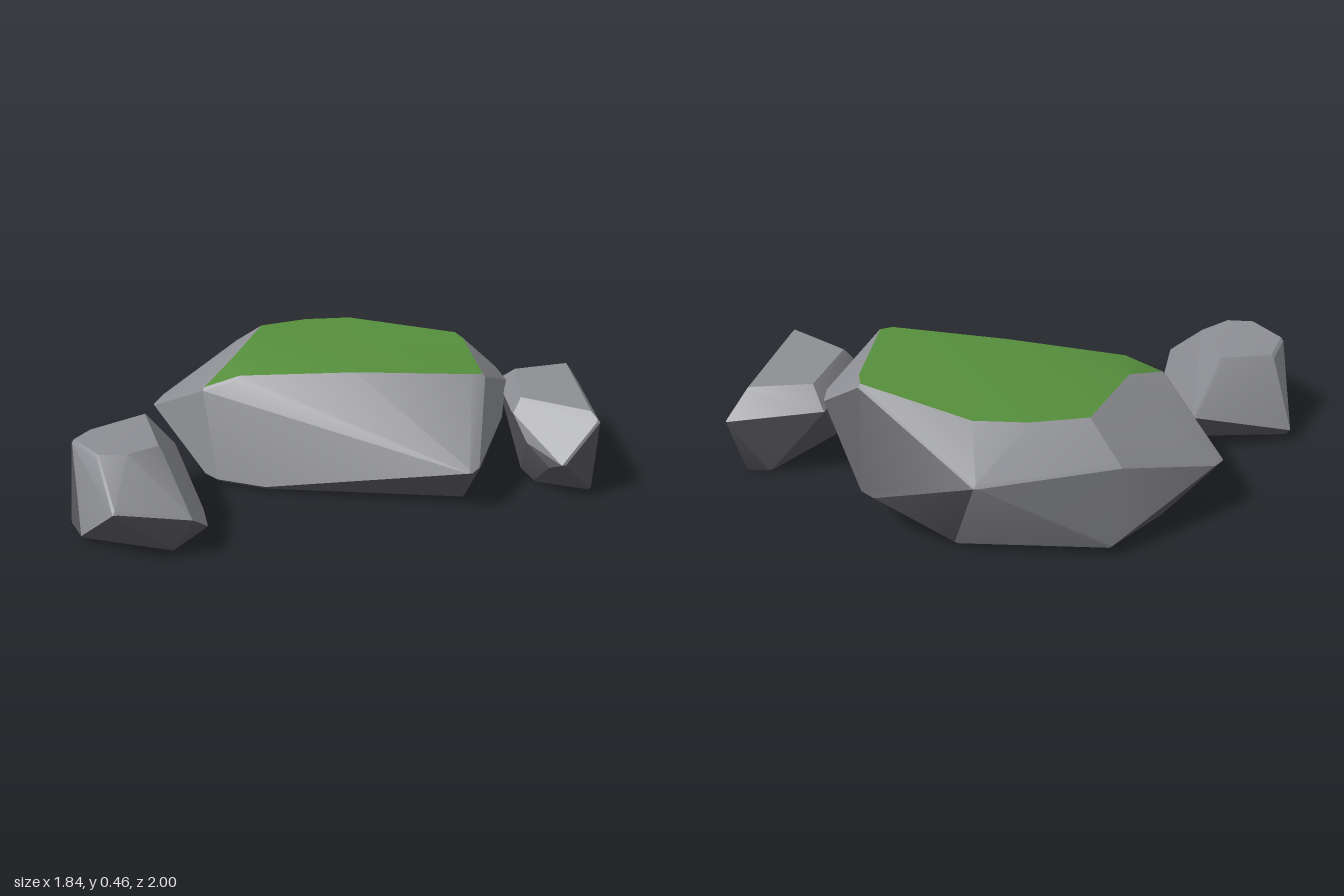
import * as THREE from 'three';
import { ConvexGeometry } from 'three/addons/geometries/ConvexGeometry.js';
import { toCreasedNormals } from 'three/addons/utils/BufferGeometryUtils.js';

const BEVEL = 0.012;

// Chiselled boulder: convex hull of its corners, each blunted by a tiny octahedron
function rockGeometry(corners) {
  const points = [];
  const centre = new THREE.Vector3();
  for (const c of corners) centre.add(new THREE.Vector3(...c).divideScalar(corners.length));
  for (const c of corners) {
    const p = new THREE.Vector3(...c);
    // pull in so the blunted corner still ends at the given spot
    const inward = centre.clone().sub(p).clampLength(0, BEVEL);
    p.x += inward.x;
    p.z += inward.z;
    p.y += Math.sign(centre.y - p.y) * Math.min(BEVEL, Math.abs(centre.y - p.y));
    for (const axis of ['x', 'y', 'z'])
      for (const s of [-1, 1]) {
        const q = p.clone();
        q[axis] += s * BEVEL;
        points.push(q);
      }
  }
  return toCreasedNormals(new ConvexGeometry(points), 0.4);
}

// Split a rock into one geometry per surface kind, chosen by facing n and middle m
function splitFaces(geometry, kindOf) {
  const pos = geometry.attributes.position, nor = geometry.attributes.normal;
  const kinds = {};
  const tri = new THREE.Triangle(), n = new THREE.Vector3(), m = new THREE.Vector3();
  for (let i = 0; i < pos.count; i += 3) {
    tri.setFromAttributeAndIndices(pos, i, i + 1, i + 2);
    tri.getNormal(n);
    tri.getMidpoint(m);
    const part = (kinds[kindOf(n, m)] ??= { pos: [], nor: [] });
    for (let k = i; k < i + 3; k++) {
      part.pos.push(pos.getX(k), pos.getY(k), pos.getZ(k));
      part.nor.push(nor.getX(k), nor.getY(k), nor.getZ(k));
    }
  }
  return Object.entries(kinds).map(([kind, part]) => {
    const g = new THREE.BufferGeometry();
    g.setAttribute('position', new THREE.Float32BufferAttribute(part.pos, 3));
    g.setAttribute('normal', new THREE.Float32BufferAttribute(part.nor, 3));
    return [kind, g];
  });
}

const largeCorners = [
  // top plateau, dipping at the front right corner
  [-0.66, 0.457, -0.41], [-0.53, 0.46, -0.58], [-0.37, 0.46, -0.7], [0.14, 0.46, -0.75],
  [0.2, 0.46, -0.7], [0.45, 0.455, -0.35], [0.42, 0.46, -0.31], [0, 0.458, -0.095],
  [-0.42, 0.437, 0.12], [-0.55, 0.45, -0.03], [-0.55, 0.385, 0.185],
  // shoulders and girth
  [-0.82, 0.35, -0.45], [-0.54, 0.35, -0.87], [0.1, 0.43, -0.775], [0.34, 0.34, -0.745],
  [-0.12, 0.16, -0.935], [-0.05, 0.16, -0.93], [0.41, 0.33, -0.67], [0.47, 0.21, -0.5],
  [0.56, 0.17, -0.07], [0.55, 0.16, -0.03], [-0.92, 0.19, -0.02], [-0.91, 0.18, 0.05],
  // base
  [-0.53, 0.015, 0.22], [-0.45, 0.015, 0.245], [-0.24, 0.015, 0.21], [0.48, 0.015, -0.12],
  [0.43, 0.015, -0.4], [0.1, 0.015, -0.7], [-0.37, 0.015, -0.79],
  [-0.81, 0.03, -0.48], [-0.82, 0.03, -0.2],
];

const frontCorners = [
  // top
  [-0.62, 0.36, 0.46], [-0.74, 0.34, 0.66], [-0.7, 0.36, 0.8], [-0.52, 0.36, 0.87],
  [-0.43, 0.36, 0.81], [-0.39, 0.35, 0.67],
  // girth
  [-0.62, 0.165, 0.29], [-0.17, 0.14, 0.79], [-0.35, 0.23, 1.0], [-0.855, 0.04, 0.64],
  // base
  [-0.34, 0.015, 0.49], [-0.25, 0.01, 0.59], [-0.25, 0.01, 0.8], [-0.6, 0.02, 0.905],
  [-0.72, 0.01, 0.82], [-0.83, 0.01, 0.67], [-0.55, 0.01, 0.41],
];

const backCorners = [
  // top
  [0.59, 0.355, -0.9], [0.42, 0.355, -0.72], [0.57, 0.355, -0.42],
  [0.88, 0.355, -0.42], [0.915, 0.335, -0.4],
  // girth
  [0.6, 0.26, -1.0], [0.34, 0.29, -0.75], [0.56, 0.31, -0.385], [0.65, 0.22, -0.33],
  [0.83, 0.16, -0.27], [0.77, 0.13, -0.29],
  // base
  [0.88, 0.0, -0.46], [0.66, 0.0, -0.42], [0.57, 0.0, -0.5], [0.54, 0.0, -0.87], [0.61, 0.0, -0.92],
];

// Moss on the level top; dark stone on the undercuts and the steep back
function largeKind(n, m) {
  if (n.y > 0.94 || (n.y > 0.8 && m.z > 0 && m.x > -0.58)) return 'Moss';
  const undercut = n.y < -0.3 && !(n.y > -0.8 && n.x < -0.3 && n.z < -0.3);
  const steepBack = n.z < -0.75 && n.y < 0.6 && n.x > -0.4;
  return undercut || steepBack ? 'Underside' : 'Stone';
}

// Dark stone below and on the side turned to the front right
const frontKind = (n) =>
  n.y < -0.2 || (n.x < -0.5 && n.z > 0.3 && n.y < 0.6) ? 'Underside' : 'Stone';

// Dark stone below and low on the front
const backKind = (n) =>
  n.y < -0.2 || (n.z > 0.3 && n.y < 0.2) ? 'Underside' : 'Stone';

export function createModel() {
  const material = (name, color) => {
    const m = new THREE.MeshStandardMaterial({ color });
    m.name = name;
    return m;
  };
  const materials = {
    Stone: material('stone grey', 0x8e8f94),
    Underside: material('dark stone grey', 0x5a5a5e),
    Moss: material('moss green', 0x568f3d),
  };

  const model = new THREE.Group();
  model.name = 'rocks';
  const addRock = (name, corners, kindOf) => {
    const rock = new THREE.Group();
    rock.name = name;
    for (const [kind, geometry] of splitFaces(rockGeometry(corners), kindOf)) {
      const mesh = new THREE.Mesh(geometry, materials[kind]);
      mesh.name = name + kind;
      rock.add(mesh);
    }
    model.add(rock);
  };

  addRock('largeRock', largeCorners, largeKind);
  addRock('frontSmallRock', frontCorners, frontKind);
  addRock('backSmallRock', backCorners, backKind);
  return model;
}
